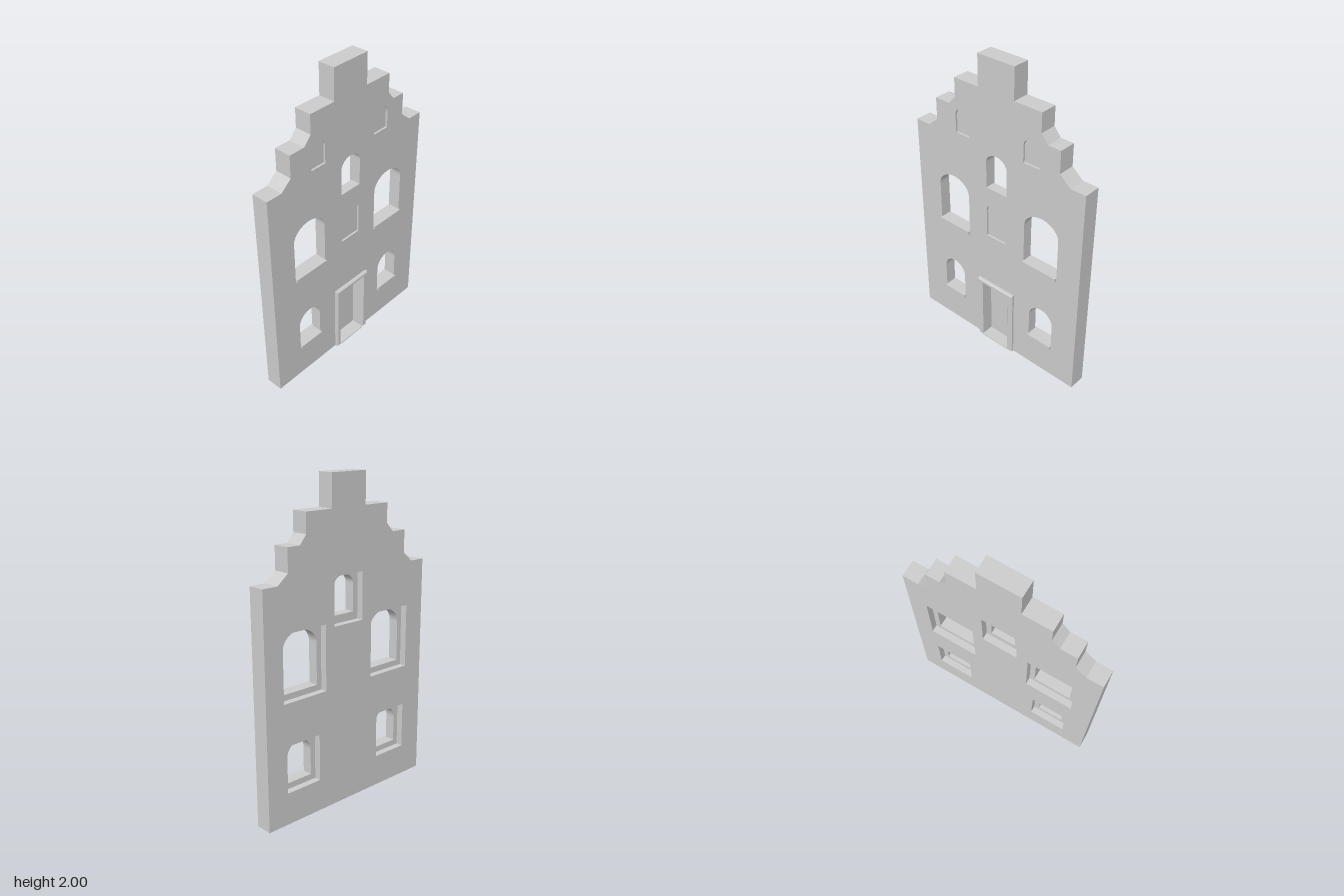
import * as THREE from 'three';

// Shapes are drawn in the facade plane (u = -z, y) and extruded along +x.
const BACK = -0.065, REBATE = -0.022, NICHE = 0.03, FRONT = 0.043;

const outline = [
  [-0.635, 0], [0.632, 0], [0.632, 1.43], [0.53, 1.43], [0.457, 1.49], [0.457, 1.63],
  [0.37, 1.63], [0.325, 1.685], [0.325, 1.805], [0.135, 1.805], [0.135, 2], [-0.125, 2],
  [-0.125, 1.805], [-0.305, 1.805], [-0.305, 1.685], [-0.355, 1.63], [-0.46, 1.63],
  [-0.46, 1.49], [-0.53, 1.43], [-0.635, 1.43],
];

// u0, u1, y0, y1, arch rise
const windows = [
  { r: [-0.445, -0.272, 0.215, 0.485, 0.087], sill: true },
  { r: [0.277, 0.455, 0.215, 0.485, 0.088], sill: true },
  { r: [-0.46, -0.215, 0.768, 1.145, 0.1], sill: true },
  { r: [0.222, 0.47, 0.768, 1.148, 0.1], sill: true },
  { r: [-0.07, 0.085, 1.18, 1.415, 0.065], sill: false },
];
const niches = [
  [-0.07, 0.08, 0.835, 1.075, 0.06],
  [-0.305, -0.2, 1.46, 1.623, 0.052],
  [0.205, 0.32, 1.46, 1.62, 0.055],
];
const door = [-0.1, 0.11, 0.006, 0.445];

const polygon = (pts) => new THREE.Shape(pts.map(([u, y]) => new THREE.Vector2(u, y)));

function rectHole([u0, u1, y0, y1]) {
  return polygon([[u0, y0], [u0, y1], [u1, y1], [u1, y0]]);
}

function archHole([u0, u1, y0, y1, rise]) {
  const p = new THREE.Path();
  p.moveTo(u0, y0);
  p.lineTo(u1, y0);
  p.lineTo(u1, y1 - rise);
  p.absellipse((u0 + u1) / 2, y1 - rise, (u1 - u0) / 2, rise, 0, Math.PI, false, 0);
  p.lineTo(u0, y0);
  return p;
}

export function createModel() {
  const model = new THREE.Group();
  model.name = 'gabledFacade';
  const stone = new THREE.MeshStandardMaterial({ color: 0xcccccc });
  stone.name = 'lightGrey';

  const add = (name, geometry) => {
    geometry.rotateY(Math.PI / 2);
    const mesh = new THREE.Mesh(geometry, stone);
    mesh.name = name;
    model.add(mesh);
  };

  // Wall built in three layers, each with its own openings
  const layer = (name, x0, x1, holes) => {
    const shape = polygon(outline);
    shape.holes.push(...holes);
    const g = new THREE.ExtrudeGeometry(shape, { depth: x1 - x0, bevelEnabled: false, curveSegments: 14 });
    add(name, g.translate(0, 0, x0));
  };
  const arches = () => windows.map((w) => archHole(w.r));
  layer('wallFace', NICHE, FRONT, [...arches(), ...niches.map(archHole), rectHole(door)]);
  layer('wallCore', REBATE, NICHE, [...arches(), rectHole(door)]);
  layer('wallBack', BACK, REBATE, windows.map(({ r: [u0, u1, y0, y1], sill }) =>
    rectHole([u0 - 0.035, u1 + 0.035, y0 - (sill ? 0.015 : 0.05), y1 + 0.008])));

  // Window sills
  for (const { r: [u0, u1, y0], sill } of windows) {
    if (!sill) continue;
    const g = new THREE.BoxGeometry(u1 - u0, 0.022, 0.057 - REBATE);
    add('windowSill', g.translate((u0 + u1) / 2, y0 + 0.011, (0.057 + REBATE) / 2));
  }

  // Door frame with bevelled edges
  const frame = polygon([
    [-0.135, 0], [door[0], 0], [door[0], door[3]], [door[1], door[3]],
    [door[1], 0], [0.152, 0], [0.152, 0.475], [-0.135, 0.475],
  ]);
  const frameGeometry = new THREE.ExtrudeGeometry(frame, {
    depth: 0.014, bevelThickness: 0.008, bevelSize: 0.008, bevelOffset: -0.008, bevelSegments: 1,
  });
  add('doorFrame', frameGeometry.translate(0, 0, FRONT));

  // Doorstep between the frame posts
  const step = new THREE.BoxGeometry(door[1] - door[0], 0.006, 0.02);
  add('doorStep', step.translate((door[0] + door[1]) / 2, 0.003, FRONT + 0.01));

  return model;
}
